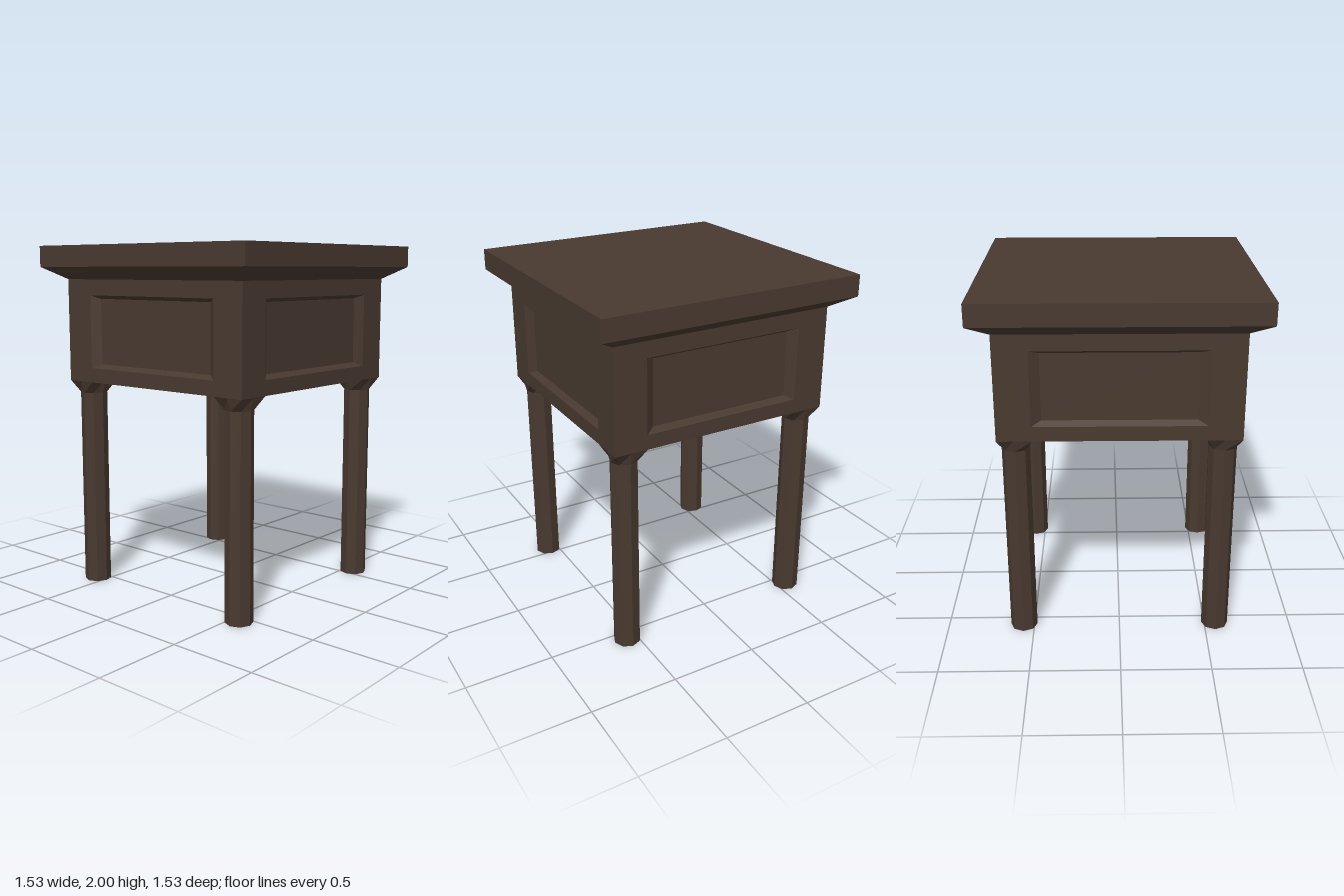
import * as THREE from 'three';

const wood = new THREE.MeshStandardMaterial({ color: 0x48392f });
wood.name = 'darkWood';
wood.flatShading = true;

function part(geometry, name, x = 0, y = 0, z = 0) {
  const mesh = new THREE.Mesh(geometry, wood);
  mesh.name = name;
  mesh.position.set(x, y, z);
  return mesh;
}

// Wall facing +z with a bevelled, sunken panel, lofted through rectangular rings
function panelWallGeometry() {
  const rings = [ // half width, bottom, top, z
    [0.655, 1.22, 1.81, 0.655],
    [0.467, 1.303, 1.72, 0.655],
    [0.415, 1.326, 1.70, 0.62],
  ].map(([w, b, t, z]) => [[-w, b, z], [w, b, z], [w, t, z], [-w, t, z]]);
  const pos = [];
  const quad = (a, b, c, d) => pos.push(...a, ...b, ...c, ...a, ...c, ...d);
  for (let r = 0; r < 2; r++) {
    for (let i = 0; i < 4; i++) {
      const j = (i + 1) % 4;
      quad(rings[r][i], rings[r][j], rings[r + 1][j], rings[r + 1][i]);
    }
  }
  quad(...rings[2]);
  const g = new THREE.BufferGeometry();
  g.setAttribute('position', new THREE.Float32BufferAttribute(pos, 3));
  g.computeVertexNormals();
  return g;
}

// Collar that blends the octagonal leg into a square under the body
function collarGeometry() {
  const g = new THREE.CylinderGeometry(0.095, 0.077, 0.07, 8, 1, true);
  const p = g.attributes.position;
  for (let i = 0; i < p.count; i++) {
    if (p.getY(i) < 0) continue;
    const s = 0.095 / Math.max(Math.abs(p.getX(i)), Math.abs(p.getZ(i)));
    p.setX(i, p.getX(i) * s);
    p.setZ(i, p.getZ(i) * s);
  }
  const flat = g.toNonIndexed();
  flat.computeVertexNormals();
  return flat;
}

export function createModel() {
  const model = new THREE.Group();
  model.name = 'sideTable';

  // Table top with a sloping moulding below it
  model.add(part(new THREE.BoxGeometry(1.534, 0.12, 1.534), 'tableTop', 0, 1.94, 0));
  const r = Math.SQRT2;
  model.add(part(new THREE.CylinderGeometry(0.767 * r, 0.655 * r, 0.07, 4, 1, true, Math.PI / 4),
    'topMoulding', 0, 1.845, 0));

  // Body: four panelled walls and the underside
  const wall = panelWallGeometry();
  ['front', 'left', 'back', 'right'].forEach((side, i) => {
    const mesh = part(wall, side + 'Panel');
    mesh.rotation.y = i * Math.PI / 2;
    model.add(mesh);
  });
  const underside = part(new THREE.PlaneGeometry(1.31, 1.31), 'underside', 0, 1.22, 0);
  underside.rotation.x = Math.PI / 2;
  model.add(underside);

  // Octagonal legs with collars
  const legGeometry = new THREE.CylinderGeometry(0.077, 0.077, 1.15, 8);
  const collar = collarGeometry();
  for (const x of [-0.56, 0.56]) {
    for (const z of [-0.56, 0.56]) {
      const leg = new THREE.Group();
      leg.name = (z > 0 ? 'front' : 'back') + (x > 0 ? 'Left' : 'Right') + 'Leg';
      leg.position.set(x, 0, z);
      leg.add(part(legGeometry, 'legPost', 0, 0.575, 0));
      leg.add(part(collar, 'legCollar', 0, 1.185, 0));
      model.add(leg);
    }
  }
  return model;
}
